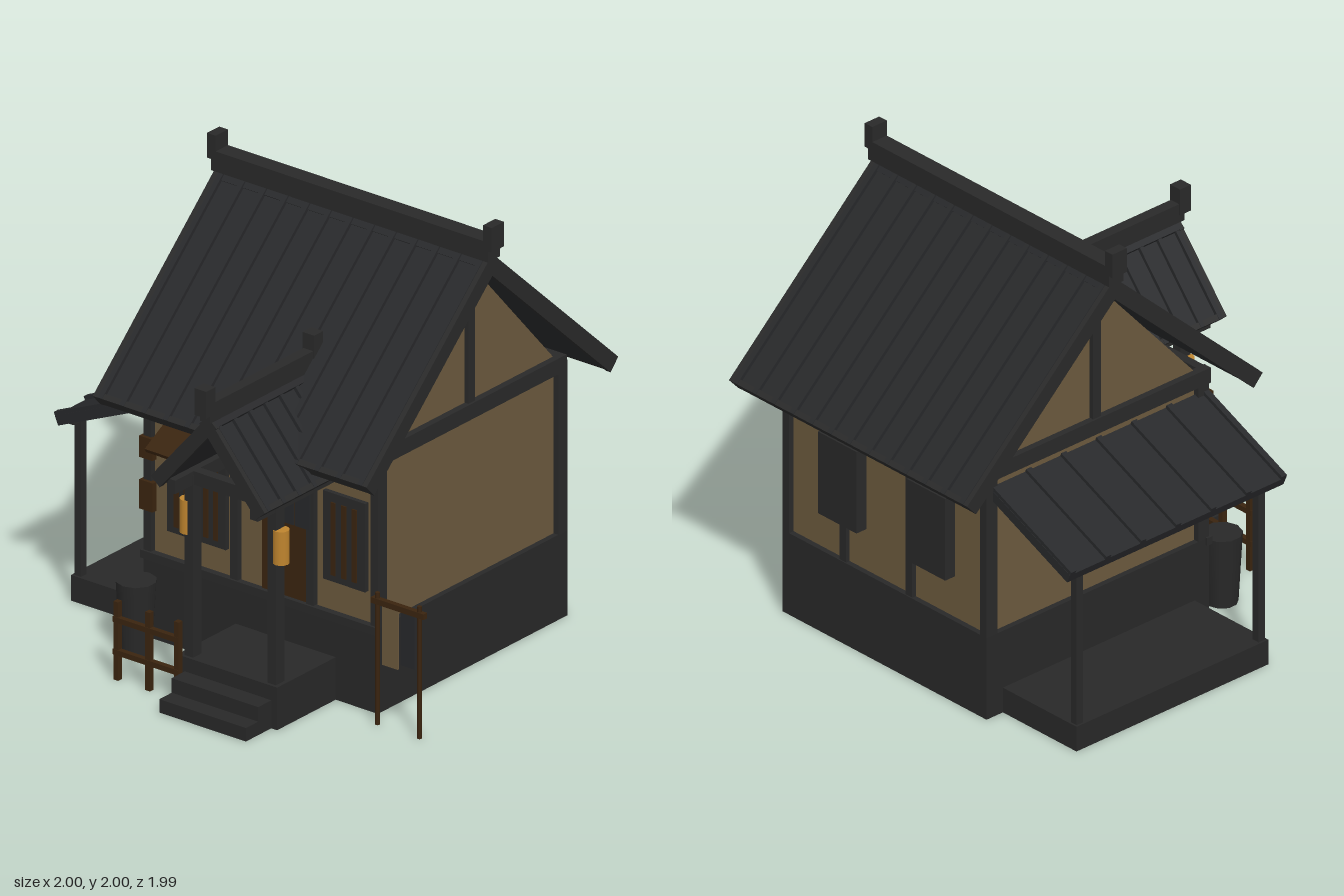
import * as THREE from 'three';

const mat = (name, color, side = THREE.FrontSide) => {
  const m = new THREE.MeshStandardMaterial({ color, side });
  m.name = name;
  return m;
};

export function createModel() {
  const root = new THREE.Group();
  root.name = 'cottage';
  const stone = mat('charcoal stone', 0x282828);
  const timber = mat('dark timber', 0x292929);
  const tile = mat('dark roof', 0x27282a);
  const plaster = mat('tan plaster', 0x6b593d);
  const wood = mat('brown wood', 0x3a240f);
  const glow = mat('amber paper', 0xbe842e);

  const add = (name, geo, material, parent = root) => {
    const m = new THREE.Mesh(geo, material);
    m.name = name;
    parent.add(m);
    return m;
  };
  // Box given by its limits on each axis
  const box = (name, material, x0, x1, y0, y1, z0, z1, parent = root) => {
    const m = add(name, new THREE.BoxGeometry(x1 - x0, y1 - y0, z1 - z0), material, parent);
    m.position.set((x0 + x1) / 2, (y0 + y1) / 2, (z0 + z1) / 2);
    return m;
  };
  // Sloping roof face with battens, running down local +x from its top edge
  const slope = (name, pos, turn, run, drop, width, thick, battens, gap, rib, trim) => {
    const g = new THREE.Group();
    g.name = name;
    g.position.set(...pos);
    g.rotation.set(0, turn, -Math.atan2(drop, run), 'YXZ');
    const L = Math.hypot(run, drop);
    box('roofSlab', tile, 0, L, -thick, -0.012, -width / 2, width / 2, g);
    for (let i = 0; i < battens; i++) {
      const z = (i - (battens - 1) / 2) * gap;
      box('roofBatten', tile, 0, L, -0.02, 0.004, z - rib, z + rib, g);
    }
    if (trim) {
      for (const s of [-1, 1]) {
        const z = s * width / 2;
        box('bargeBoard', timber, 0, L, -thick - 0.004, 0.002, z - 0.012, z + 0.012, g);
      }
      box('eaveBoard', timber, L - 0.025, L, -thick, 0.002, -width / 2, width / 2, g);
    }
    root.add(g);
  };

  // Base and plastered walls
  box('stoneBase', stone, -0.53, 0.69, 0, 0.38, -0.79, 0.44);
  box('walls', plaster, -0.505, 0.665, 0.38, 1.14, -0.765, 0.415);
  box('frontSill', timber, -0.54, 0.69, 0.35, 0.385, 0.42, 0.45);

  // Timber frame
  for (const x of [-0.53, 0.65])
    for (const z of [-0.79, 0.38]) box('cornerPost', timber, x, x + 0.04, 0.38, 1.14, z, z + 0.06);
  for (const x of [-0.06, 0.335])
    for (const z of [-0.785, 0.41]) box('wallPost', timber, x - 0.02, x + 0.02, 0.38, 1.14, z, z + 0.03);
  for (const x of [-0.535, 0.655]) box('sideBeam', timber, x, x + 0.04, 1.1, 1.17, -0.77, 0.445);
  for (const z of [-0.785, 0.405]) box('longBeam', timber, -0.53, 0.69, 1.1, 1.165, z, z + 0.04);

  // Gables
  const tri = new THREE.Shape([[-0.56, 1.16], [0.56, 1.16], [0, 1.79]].map(p => new THREE.Vector2(...p)));
  for (const x of [-0.505, 0.645]) {
    const g = add('gable', new THREE.ExtrudeGeometry(tri, { depth: 0.02, bevelEnabled: false }), plaster);
    g.rotation.y = Math.PI / 2;
    g.position.set(x, 0, -0.175);
  }
  for (const x of [-0.525, 0.645]) box('gablePost', timber, x, x + 0.04, 1.16, 1.8, -0.197, -0.153);

  // Main roof
  for (const s of [-1, 1])
    slope('mainRoof', [0.08, 1.86, -0.175], s * Math.PI / 2, 0.815, 0.75, 1.4, 0.066, 13, 0.1125, 0.012, true);
  box('mainRidge', timber, -0.64, 0.8, 1.84, 1.93, -0.215, -0.135);
  for (const x of [-0.66, 0.775]) box('ridgeCap', timber, x, x + 0.045, 1.89, 2, -0.215, -0.135);

  // Porch roof
  for (const turn of [0, Math.PI])
    slope('porchRoof', [0.215, 1.37, 0.62], turn, 0.295, 0.345, 0.64, 0.055, 7, 0.1, 0.01, true);
  box('porchRidge', timber, 0.19, 0.24, 1.355, 1.44, 0.25, 0.97);
  for (const z of [0.24, 0.94]) box('porchRidgeCap', timber, 0.185, 0.245, 1.39, 1.51, z, z + 0.06);

  // Porch posts, beams and lanterns
  for (const s of [-1, 1]) {
    const x = 0.215 + s * 0.215;
    box('porchPost', timber, x - 0.022, x + 0.022, 0.19, 1.0, 0.75, 0.806);
    box('porchSideBeam', timber, x - 0.02, x + 0.02, 0.96, 1.02, 0.42, 0.92);
    const l = add('lantern', new THREE.CylinderGeometry(0.035, 0.035, 0.15, 12), glow);
    l.position.set(x + s * 0.027, 0.805, 0.778);
  }
  box('porchBeam', timber, -0.02, 0.45, 0.96, 1.02, 0.755, 0.8);

  // Porch steps
  box('porchFloor', stone, -0.05, 0.47, 0, 0.19, 0.43, 0.82);
  box('upperStep', stone, -0.01, 0.44, 0, 0.125, 0.8, 0.905);
  box('lowerStep', stone, -0.01, 0.44, 0, 0.06, 0.8, 0.985);

  // Door and split curtain
  box('door', wood, 0.08, 0.32, 0.38, 0.94, 0.41, 0.43);
  for (let i = 0; i < 3; i++) {
    const x = 0.1 + i * 0.083;
    box('doorCurtain', tile, x, x + 0.073, 0.72, 0.95, 0.44, 0.448);
  }
  box('curtainRail', timber, 0.07, 0.36, 0.945, 0.965, 0.43, 0.455);

  // Front windows with slats
  for (const [x0, x1, y0, y1, n] of [[-0.41, -0.105, 0.5, 0.92, 5], [0.4, 0.62, 0.52, 0.915, 3]]) {
    box('window', timber, x0, x1, y0, y1, 0.41, 0.436);
    const step = (x1 - x0) / (n + 1);
    for (let i = 1; i <= n; i++) {
      const x = x0 + i * step;
      box('windowSlat', wood, x - 0.012, x + 0.012, y0 + 0.03, y1 - 0.04, 0.434, 0.441);
    }
  }
  const awning = box('windowAwning', wood, -0.42, -0.095, 0.93, 0.95, 0.415, 0.575);
  awning.rotation.x = 0.5;

  // Back shutters
  for (const x of [0.33, -0.2]) box('backShutter', timber, x - 0.115, x + 0.115, 0.57, 0.95, -0.82, -0.76);

  // Corner plaques
  for (const [y0, y1] of [[0.57, 0.7], [0.8, 0.895], [0.985, 1.06]])
    box('cornerPlaque', wood, -0.54, -0.47, y0, y1, 0.43, 0.455);

  // Side lean-to
  slope('sideRoof', [-0.515, 1.07, -0.157], Math.PI, 0.48, 0.21, 1.195, 0.055, 7, 0.194, 0.014, false);
  box('sideDeck', stone, -0.97, -0.52, 0, 0.115, -0.7, 0.36);
  for (const z of [-0.69, 0.315]) box('sidePost', timber, -0.96, -0.925, 0.11, 0.84, z, z + 0.035);
  box('sideBeam', timber, -0.96, -0.925, 0.81, 0.84, -0.72, 0.4);

  // Barrel
  const barrel = add('barrel', new THREE.CylinderGeometry(0.086, 0.068, 0.32, 10), stone);
  barrel.position.set(-0.457, 0.16, 0.578);

  // Trellis
  for (const x of [-0.345, -0.18, -0.03]) box('trellisPost', wood, x - 0.012, x + 0.012, 0, 0.35, 0.825, 0.85);
  for (const y of [0.125, 0.27]) box('trellisRail', wood, -0.36, -0.02, y - 0.012, y + 0.012, 0.828, 0.852);

  // Drying rack
  for (const x of [0.752, 0.97]) {
    const p = add('rackPole', new THREE.CylinderGeometry(0.01, 0.01, 0.59, 8), wood);
    p.position.set(x, 0.295, 0.52);
  }
  box('rackRail', wood, 0.725, 1.0, 0.54, 0.565, 0.508, 0.532);
  box('tanCloth', plaster, 0.778, 0.86, 0.275, 0.55, 0.515, 0.524);
  box('darkCloth', tile, 0.875, 0.948, 0.3, 0.55, 0.515, 0.524);

  return root;
}
